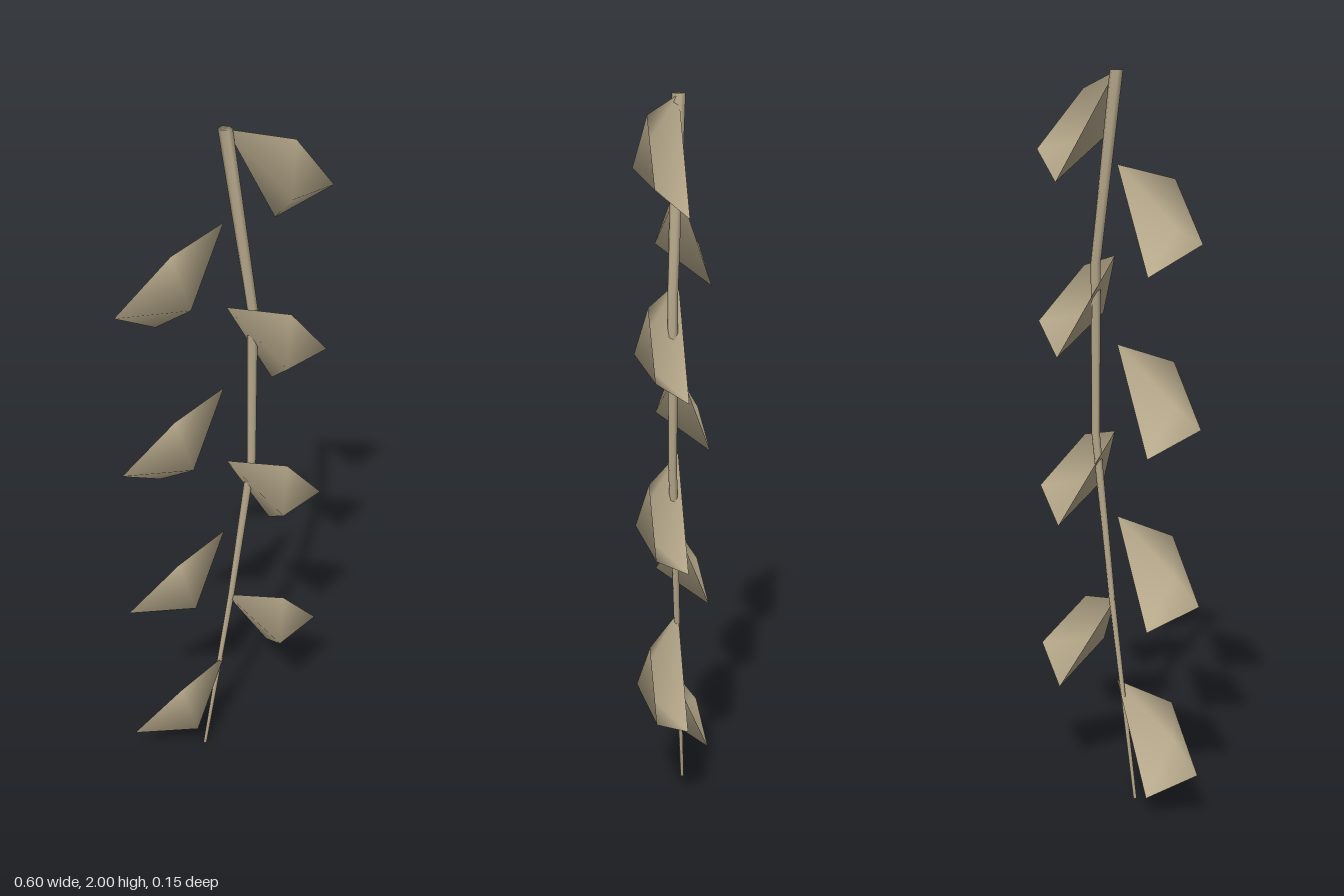
import * as THREE from 'three';

const tan = new THREE.MeshStandardMaterial({ color: 0xb8aa8c, side: THREE.DoubleSide });
tan.name = 'driedLeafTan';

// Cupped leaf: four rim points around one bulging centre; side mirrors it in x
function leafGeometry(side) {
  const points = [
    [0.004, 0, -0.017],       // base
    [0.166, -0.036, 0.03],    // upper corner
    [0.301, -0.197, -0.017],  // tip
    [0.168, -0.285, -0.077],  // lower corner
    [0.135, -0.168, 0.075],   // centre of the bulge
  ];
  const index = [];
  for (let i = 0; i < 4; i++) {
    const j = (i + 1) % 4;
    index.push(...(side > 0 ? [j, i, 4] : [i, j, 4]));
  }
  const g = new THREE.BufferGeometry();
  g.setAttribute('position', new THREE.Float32BufferAttribute(
    points.flatMap(([x, y, z]) => [x * side, y, z]), 3));
  g.setIndex(index);
  g.computeVertexNormals();
  return g;
}

// Tapering, bent stem lofted through rings, closed at both ends
function stemGeometry() {
  const sides = 6;
  const rings = [ // x, y, radius
    [-0.071, 0, 0.005], [0.018, 0.57, 0.009], [0.079, 1.03, 0.012],
    [0.077, 1.5, 0.014], [0, 2, 0.018],
  ];
  const pos = [], index = [];
  for (const [x, y, r] of rings) {
    for (let i = 0; i < sides; i++) {
      const a = (i / sides) * Math.PI * 2;
      pos.push(x + Math.sin(a) * r, y, -0.016 + Math.cos(a) * r);
    }
  }
  for (let k = 0; k < rings.length - 1; k++) {
    for (let i = 0; i < sides; i++) {
      const a = k * sides + i, b = k * sides + (i + 1) % sides;
      index.push(a, b, b + sides, a, b + sides, a + sides);
    }
  }
  const top = (rings.length - 1) * sides;
  for (let i = 1; i < sides - 1; i++) {
    index.push(0, i + 1, i, top, top + i, top + i + 1);
  }
  const g = new THREE.BufferGeometry();
  g.setAttribute('position', new THREE.Float32BufferAttribute(pos, 3));
  g.setIndex(index);
  g.computeVertexNormals();
  return g;
}

export function createModel() {
  const model = new THREE.Group();
  model.name = 'hangingVine';

  const stem = new THREE.Mesh(stemGeometry(), tan);
  stem.name = 'stem';
  model.add(stem);

  // Leaves alternate from side to side down the stem
  const shapes = { 1: leafGeometry(1), [-1]: leafGeometry(-1) };
  for (let i = 0; i < 8; i++) {
    const side = i % 2 ? -1 : 1;
    const leaf = new THREE.Mesh(shapes[side], tan);
    leaf.name = side > 0 ? 'leftLeaf' : 'rightLeaf';
    leaf.position.y = 1.997 - i * 0.2375;
    model.add(leaf);
  }
  return model;
}
